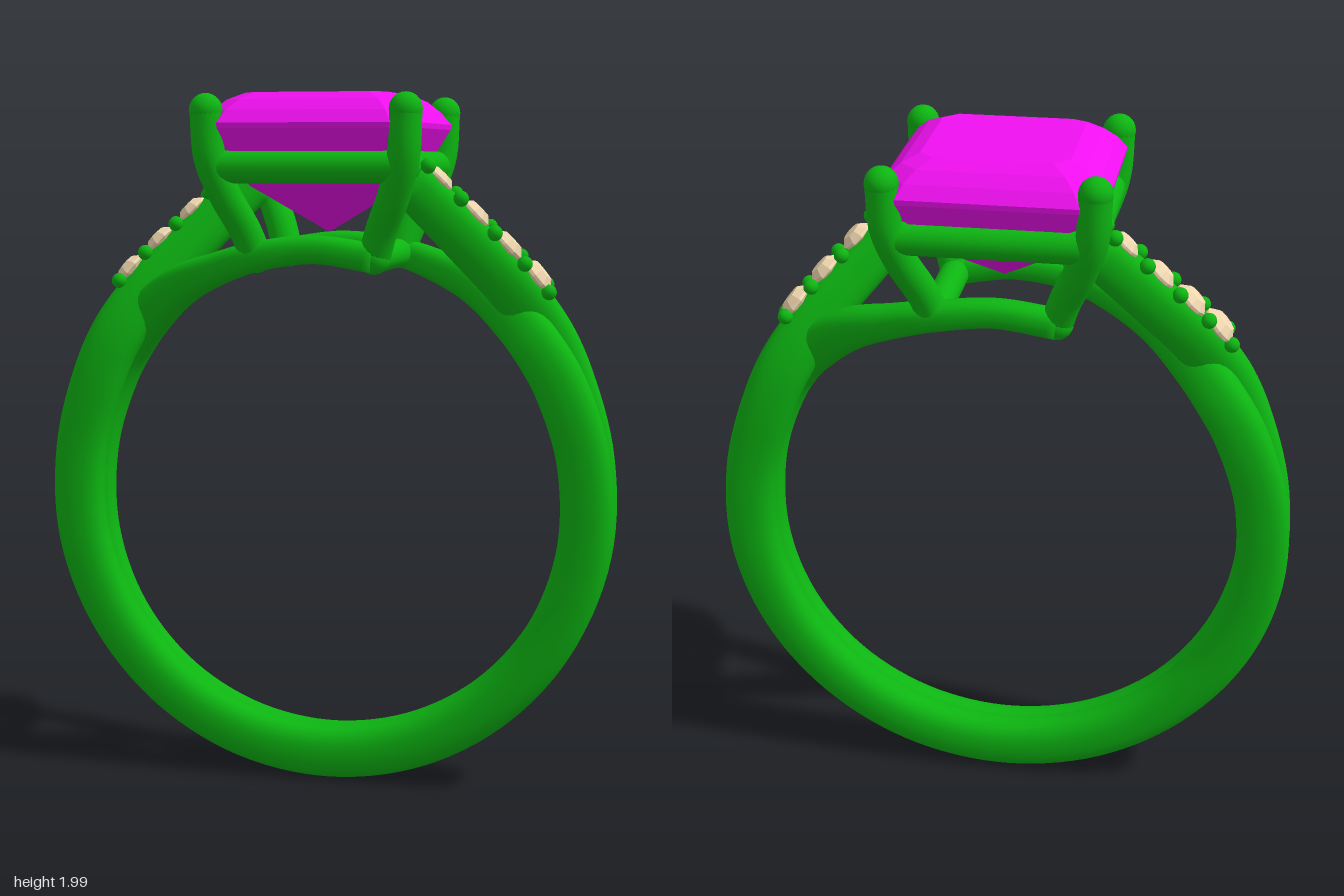
import * as THREE from 'three';
import { ConvexGeometry } from 'three/addons/geometries/ConvexGeometry.js';

const V = (x, y, z) => new THREE.Vector3(x, y, z);
const metal = new THREE.MeshStandardMaterial({ color: 0x0db512 });
const stoneMat = new THREE.MeshStandardMaterial({ color: 0xf010f0, flatShading: true });
const accentMat = new THREE.MeshStandardMaterial({ color: 0xf0d8b0, flatShading: true });
const CY = 0.84, R = 0.757;

function add(parent, name, geo, mat = metal) {
  const m = new THREE.Mesh(geo, mat);
  m.name = name;
  parent.add(m);
  return m;
}

// Strand stations: x, y, z, radial half size, axial half size
const stations = [
  // upper end, carrying the accent stones
  [0.26, 1.76, 0.16, 0.065, 0.055],
  [0.42, 1.585, 0.07, 0.07, 0.058],
  [0.55, 1.435, -0.005, 0.075, 0.058],
  [0.625, 1.32, -0.043, 0.078, 0.056],
  [0.68, 1.2, -0.057, 0.077, 0.054],
];
// around the finger, the two strands merging at the bottom
for (let deg = 100; deg >= -100; deg -= 20) {
  const a = THREE.MathUtils.degToRad(deg);
  const k = THREE.MathUtils.smoothstep(Math.abs(deg), 40, 105);
  stations.push([R * Math.sin(a), CY - R * Math.cos(a), -0.026 - 0.027 * k, 0.075, 0.06 - 0.007 * k]);
}
// lower end, passing under the other strand and into the base of the head
stations.push(
  [-0.68, 1.18, -0.054, 0.075, 0.053],
  [-0.615, 1.285, -0.035, 0.073, 0.054],
  [-0.53, 1.375, 0.02, 0.07, 0.055],
  [-0.42, 1.455, 0.085, 0.06, 0.055],
  [-0.3, 1.505, 0.14, 0.048, 0.05],
  [-0.17, 1.545, 0.18, 0.042, 0.042],
  [0, 1.567, 0.185, 0.04, 0.042],
  [0.17, 1.545, 0.18, 0.042, 0.042],
);
const path = new THREE.CatmullRomCurve3(stations.map(s => V(s[0], s[1], s[2])));

// Local frame of the strand at a (fractional) station index
function frame(index) {
  const last = stations.length - 1;
  const t = index / last;
  const i = Math.min(Math.floor(index), last - 1), f = index - i;
  const c = path.getPoint(t), T = path.getTangent(t);
  const N = V(c.x, c.y - CY, 0).normalize();
  N.addScaledVector(T, -N.dot(T)).normalize();
  const B = T.clone().cross(N);
  const size = k => THREE.MathUtils.lerp(stations[i][k], stations[i + 1][k], f);
  return { c, N, B, a: size(3), b: size(4) };
}

function strandGeometry() {
  const rings = 160, sides = 24, pos = [], idx = [];
  const pow = v => Math.sign(v) * Math.pow(Math.abs(v), 0.82);
  for (let i = 0; i <= rings; i++) {
    const { c, N, B, a, b } = frame((i / rings) * (stations.length - 1));
    for (let j = 0; j < sides; j++) {
      const w = (j / sides) * Math.PI * 2;
      const p = c.clone().addScaledVector(N, a * pow(Math.cos(w))).addScaledVector(B, b * pow(Math.sin(w)));
      pos.push(p.x, p.y, p.z);
      if (i < rings) {
        const p0 = i * sides + j, p1 = i * sides + (j + 1) % sides;
        idx.push(p0, p1, p0 + sides, p1, p1 + sides, p0 + sides);
      }
    }
  }
  // end caps
  const e = rings * sides;
  for (let j = 1; j < sides - 1; j++) idx.push(0, j + 1, j, e, e + j, e + j + 1);
  const g = new THREE.BufferGeometry();
  g.setAttribute('position', new THREE.Float32BufferAttribute(pos, 3));
  g.setIndex(idx);
  g.computeVertexNormals();
  return g;
}

// Octagonal step-cut stone from levels of [half width, corner cut, y]
function stepCutGeometry(levels) {
  const pts = [];
  for (const [h, cut, y] of levels)
    for (const s of [-1, 1]) for (const t of [-1, 1])
      pts.push(V(s * h, y, t * (h - cut)), V(s * (h - cut), y, t * h));
  pts.push(V(0, 1.61, 0));
  return new ConvexGeometry(pts);
}

function bar(parent, name, p, q, r) {
  const m = add(parent, name, new THREE.CylinderGeometry(r, r, p.distanceTo(q), 20));
  m.position.copy(p).add(q).multiplyScalar(0.5);
  m.quaternion.setFromUnitVectors(V(0, 1, 0), q.clone().sub(p).normalize());
}

export function createModel() {
  const ring = new THREE.Group();
  ring.name = 'ring';

  // Two identical crossing strands, half a turn apart
  const strandGeo = strandGeometry();
  const gemGeo = new THREE.LatheGeometry(
    [[0, -0.6], [1, -0.1], [1, 0.05], [0.6, 0.42], [0, 0.45]].map(p => new THREE.Vector2(...p)), 10);
  const beadGeo = new THREE.SphereGeometry(0.022, 14, 10);
  for (let k = 0; k < 2; k++) {
    const half = new THREE.Group();
    half.name = 'bandHalf';
    half.rotation.y = k * Math.PI;
    ring.add(half);
    add(half, 'strand', strandGeo);

    // accent stones, growing towards the band
    [0.25, 0.8, 1.36, 1.92].forEach((index, n) => {
      const { c, N, a } = frame(index);
      const gem = add(half, 'accentStone', gemGeo, accentMat);
      gem.position.copy(c).addScaledVector(N, a);
      gem.quaternion.setFromUnitVectors(V(0, 1, 0), N);
      gem.scale.setScalar(0.045 + 0.004 * n);
    });
    // bead pairs between the accent stones
    for (const index of [0.02, 0.53, 1.08, 1.64, 2.2])
      for (const s of [-1, 1]) {
        const { c, N, B, a } = frame(index);
        add(half, 'bead', beadGeo).position.copy(c).addScaledVector(N, a).addScaledVector(B, s * 0.04);
      }
  }

  // Head: four prongs, gallery rail and base bars
  const head = new THREE.Group();
  head.name = 'head';
  ring.add(head);
  const tip = new THREE.SphereGeometry(0.046, 20, 14);
  for (const sx of [-1, 1]) for (const sz of [-1, 1]) {
    const profile = [[0.17, 1.545], [0.195, 1.62], [0.24, 1.72], [0.272, 1.82], [0.28, 1.95]];
    const curve = new THREE.CatmullRomCurve3(profile.map(([d, y]) => V(sx * d, y, sz * d)));
    add(head, 'prong', new THREE.TubeGeometry(curve, 28, 0.045, 18));
    add(head, 'prongTip', tip).position.set(sx * 0.28, 1.95, sz * 0.28);
    add(head, 'prongFoot', tip).position.set(sx * 0.17, 1.545, sz * 0.175);
  }
  for (const s of [-1, 1]) {
    const d = 0.26, y = 1.795;
    bar(head, 'galleryRail', V(-d, y, s * d), V(d, y, s * d), 0.045);
    bar(head, 'galleryRail', V(s * d, y, -d), V(s * d, y, d), 0.045);
    bar(head, 'baseBar', V(s * 0.17, 1.545, -0.18), V(s * 0.17, 1.545, 0.18), 0.042);
  }

  // Centre stone
  add(ring, 'centreStone', stepCutGeometry([
    [0.2, 0.04, 2.0], [0.245, 0.05, 1.98], [0.28, 0.057, 1.95], [0.307, 0.065, 1.915],
    [0.305, 0.065, 1.9], [0.25, 0.055, 1.8], [0.19, 0.042, 1.74],
  ]), stoneMat);

  return ring;
}
